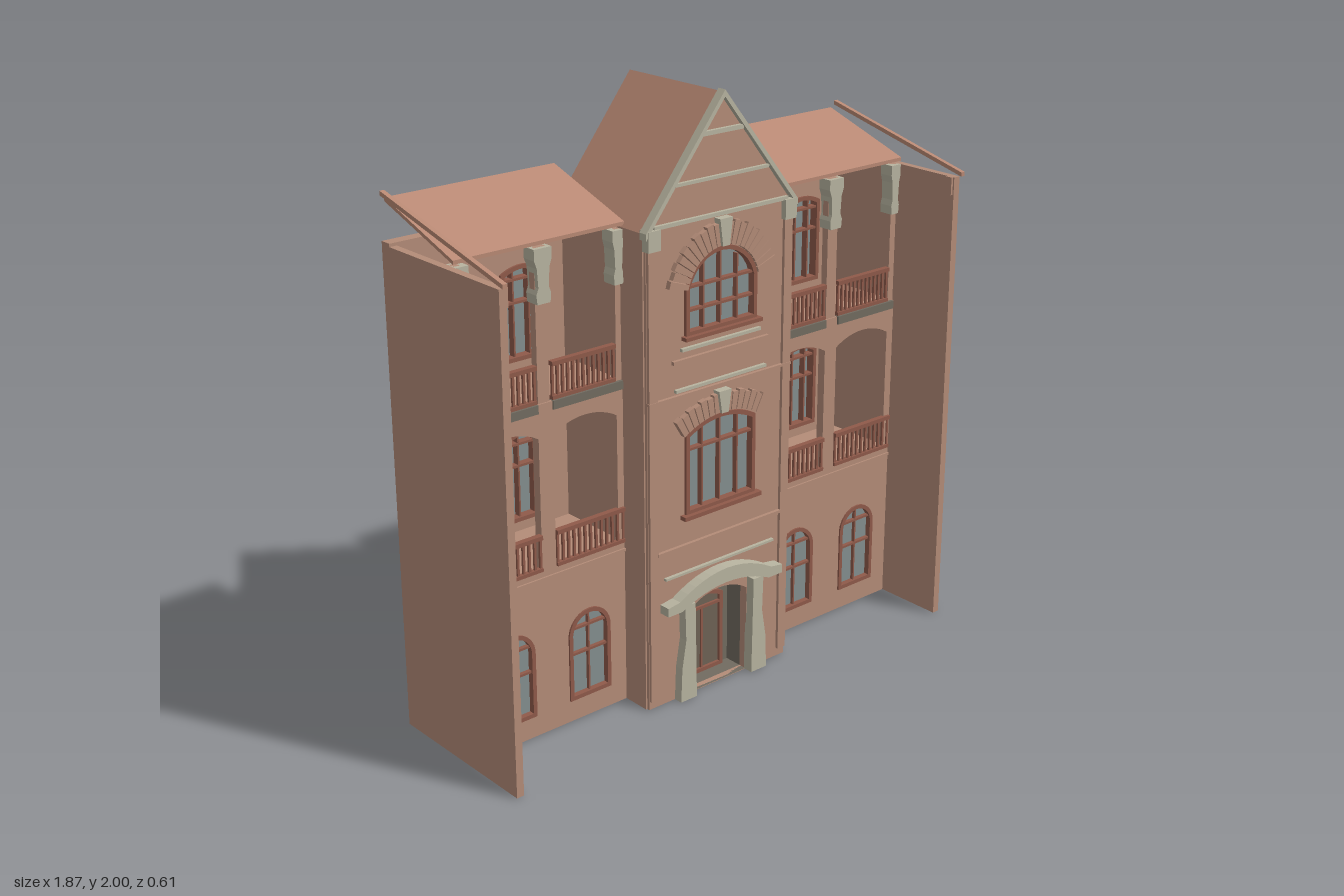
import * as THREE from 'three';

const mat = (name, color) => Object.assign(new THREE.MeshStandardMaterial({ color }), { name });
const brick = mat('brick', 0xb48c78);
const roofTile = mat('roof tile', 0xb98974);
const stone = mat('pale stone', 0xb8b4a0);
const glass = mat('glass', 0x848f8e);
const timber = mat('red brown timber', 0x8f5a4a);
const slabGrey = mat('dark stone', 0x716b60);
const doorBrown = mat('door panel', 0x6e6255);

function add(parent, name, geo, material) {
  const m = new THREE.Mesh(geo, material);
  m.name = name;
  parent.add(m);
  return m;
}

// Box given by its min and max on each axis
function box(parent, name, material, x0, x1, y0, y1, z0, z1) {
  const m = add(parent, name, new THREE.BoxGeometry(x1 - x0, y1 - y0, z1 - z0), material);
  m.position.set((x0 + x1) / 2, (y0 + y1) / 2, (z0 + z1) / 2);
  return m;
}

// Outline of an opening with an arched top
function archPoints(cx, half, y0, y1, rise) {
  const r = (half * half + rise * rise) / (2 * rise);
  const a = Math.asin(Math.min(1, half / r));
  const pts = [new THREE.Vector2(cx - half, y0), new THREE.Vector2(cx + half, y0)];
  for (let i = 0; i <= 12; i++) {
    const t = a - (2 * a * i) / 12;
    pts.push(new THREE.Vector2(cx + r * Math.sin(t), y1 - r + r * Math.cos(t)));
  }
  return pts;
}

const polygon = (list) => new THREE.Shape(list.map(([x, y]) => new THREE.Vector2(x, y)));

function plate(parent, name, material, shape, z0, z1, holes = []) {
  for (const h of holes) shape.holes.push(new THREE.Path(h));
  const geo = new THREE.ExtrudeGeometry(shape, { depth: z1 - z0, bevelEnabled: false });
  geo.translate(0, 0, z0);
  return add(parent, name, geo, material);
}

// Frame, glass and glazing bars; zBack is where the glass sits
function windowUnit(parent, [cx, half, y0, y1, rise], zBack, zFront, uprights, transoms) {
  const g = new THREE.Group();
  g.name = 'window';
  parent.add(g);
  const t = 0.014;
  plate(g, 'windowFrame', timber, new THREE.Shape(archPoints(cx, half, y0, y1, rise)), zBack, zFront,
    [archPoints(cx, half - t, y0 + t, y1 - t, rise * (half - t) / half)]);
  plate(g, 'windowGlass', glass, new THREE.Shape(archPoints(cx, half - 0.002, y0, y1 - 0.002, rise)), zBack - 0.004, zBack + 0.004);
  for (const u of uprights) {
    const drop = rise * (u / half) ** 2;
    box(g, 'glazingBar', timber, cx + u - 0.003, cx + u + 0.003, y0 + t, y1 - t - drop, zBack, zFront - 0.008);
  }
  for (const y of transoms) box(g, 'transom', timber, cx - half + t, cx + half - t, y - 0.004, y + 0.004, zBack, zFront - 0.006);
}

// Fan of wedge bricks with a stone keystone
function voussoirs(parent, cy, r0, r1, spread, n) {
  for (let i = 0; i < n; i++) {
    const a = spread * ((2 * (i + 0.5)) / n - 1);
    const len = (r1 - r0) * (i % 2 ? 0.92 : 1);
    const w = ((2 * spread) / n) * r0 * 0.86;
    const wedge = polygon([[-w / 2, r0], [w / 2, r0], [(w / 2) * (r0 + len) / r0, r0 + len], [(-w / 2) * (r0 + len) / r0, r0 + len]]);
    const m = plate(parent, 'voussoir', brick, wedge, 0.14, 0.158);
    m.position.y = cy;
    m.rotation.z = -a;
  }
  const top = cy + r1 + 0.01, low = cy + r0;
  plate(parent, 'keystone', stone, polygon([[-0.014, low], [0.014, low], [0.026, top], [-0.026, top]]), 0.14, 0.168);
}

function balustrade(parent, cx, width, y0, z) {
  const g = new THREE.Group();
  g.name = 'balustrade';
  parent.add(g);
  const x0 = cx - width / 2, x1 = cx + width / 2;
  box(g, 'topRail', timber, x0, x1, y0 + 0.108, y0 + 0.122, z - 0.012, z + 0.008);
  box(g, 'bottomRail', timber, x0, x1, y0, y0 + 0.012, z - 0.01, z + 0.006);
  const n = 12;
  for (let i = 0; i <= n; i++) {
    const x = x0 + 0.005 + ((width - 0.01) * i) / n;
    box(g, 'baluster', timber, x - 0.004, x + 0.004, y0 + 0.012, y0 + 0.108, z - 0.006, z + 0.002);
  }
}

// Stone bracket at the head of a loggia pillar
function capital(parent, x0, x1) {
  const c = (x0 + x1) / 2, h = (x1 - x0) / 2;
  const side = [[1, 1.6], [1, 1.565], [0.72, 1.54], [0.6, 1.48], [0.85, 1.46], [0.75, 1.43]];
  const pts = [...side.map(([k, y]) => [c + k * h, y]), ...side.slice().reverse().map(([k, y]) => [c - k * h, y])];
  plate(parent, 'capital', stone, polygon(pts.reverse()), -0.01, 0.04);
}

// One side wing, local x from -0.305 to 0.305
function wing() {
  const g = new THREE.Group();
  g.name = 'wing';
  const W = 0.305;
  const rect = (y0, y1) => polygon([[-W, y0], [W, y0], [W, y1], [-W, y1]]);
  const ground = [-0.15, 0.15].map((x) => [x, 0.083, 0.075, 0.383, 0.075]);
  const upper = [0.6, 1.145].flatMap((y) => [-0.135, 0.135].map((x) => [x, 0.08, y, y + 0.312, 0.022]));
  const loggia = [-0.151, 0.151].map((x) => archPoints(x, 0.124, 0.57, 1.04, 0.035));
  plate(g, 'frontWall', brick, rect(0, 1.09), 0, 0.03, [...ground.map((w) => archPoints(...w)), ...loggia]);
  plate(g, 'backWall', brick, rect(0, 1.61), -0.3, -0.26, upper.map((w) => archPoints(...w)));
  for (const w of ground) windowUnit(g, w, 0.012, 0.036, [0], [0.235, 0.325]);
  for (const w of upper) windowUnit(g, w, -0.288, -0.252, [-0.03, 0.03], [w[2] + 0.19, w[2] + 0.265]);
  box(g, 'loggiaFloor', brick, -W, W, 0.545, 0.565, -0.26, 0.0);
  box(g, 'loggiaFloor', brick, -W, W, 1.09, 1.115, -0.26, 0.03);
  box(g, 'stringCourse', brick, -W, W, 0.535, 0.545, 0.03, 0.036);
  for (const s of [-1, 1]) {
    box(g, 'balconySlab', slabGrey, s * 0.163 - 0.135, s * 0.163 + 0.135, 1.088, 1.116, 0.0, 0.036);
    balustrade(g, s * 0.163, 0.27, 0.568, 0.032);
    balustrade(g, s * 0.151, 0.245, 1.118, 0.026);
    box(g, 'endPillar', brick, s * 0.292 - 0.013, s * 0.292 + 0.013, 1.115, 1.6, 0, 0.025);
    capital(g, s * 0.283 - 0.022, s * 0.283 + 0.022);
  }
  box(g, 'middlePillar', brick, -0.022, 0.022, 1.115, 1.6, 0, 0.025);
  capital(g, -0.032, 0.032);
  // Lean-to roof, rising to the back
  const roof = polygon([[-0.035, 1.61], [0.305, 1.725], [0.305, 1.737], [-0.035, 1.622]]);
  plate(g, 'wingRoof', roofTile, roof, -0.31, 0.31).rotation.y = Math.PI / 2;
  return g;
}

function centreBay() {
  const g = new THREE.Group();
  g.name = 'centreBay';
  const top = [0, 0.148, 1.25, 1.515, 0.115], mid = [0, 0.148, 0.65, 0.965, 0.04];
  const door = archPoints(0, 0.125, 0.001, 0.345, 0.04);
  plate(g, 'gableWall', brick, polygon([[-0.3, 0], [0.3, 0], [0.3, 1.6], [0, 1.98], [-0.3, 1.6]]), 0.11, 0.14,
    [archPoints(...top), archPoints(...mid), door]);
  windowUnit(g, top, 0.12, 0.15, [-0.07, 0, 0.07], [1.33, 1.405]);
  windowUnit(g, mid, 0.12, 0.15, [-0.075, 0, 0.075], [0.87]);
  box(g, 'sill', timber, -0.16, 0.16, 1.24, 1.252, 0.14, 0.165);
  box(g, 'sill', timber, -0.165, 0.165, 0.638, 0.652, 0.14, 0.165);
  voussoirs(g, 1.368, 0.15, 0.228, 1.35, 21);
  voussoirs(g, 0.665, 0.305, 0.37, 0.56, 15);
  // Horizontal bands: half width, height, thickness, material
  const bands = [[0.083, 1.875, 0.014, stone], [0.19, 1.735, 0.01, stone], [0.275, 1.618, 0.012, stone],
    [0.165, 1.21, 0.01, stone], [0.2, 1.175, 0.012, brick], [0.19, 1.08, 0.01, stone],
    [0.3, 1.062, 0.008, brick], [0.265, 0.545, 0.01, brick], [0.235, 0.45, 0.008, stone]];
  for (const [h, y, t, m] of bands) box(g, 'band', m, -h, h, y - t / 2, y + t / 2, 0.135, 0.152);

  // Recessed entrance
  plate(g, 'porchLining', slabGrey, new THREE.Shape(archPoints(0, 0.135, 0, 0.355, 0.042)), 0.045, 0.139, [door]);
  plate(g, 'porchBack', slabGrey, new THREE.Shape(archPoints(0, 0.135, 0, 0.355, 0.042)), 0.035, 0.045);
  plate(g, 'doorFrame', timber, new THREE.Shape(archPoints(0, 0.09, 0.002, 0.3, 0.025)), 0.045, 0.062,
    [archPoints(0, 0.076, 0.016, 0.286, 0.02)]);
  plate(g, 'door', doorBrown, new THREE.Shape(archPoints(0, 0.077, 0.01, 0.287, 0.02)), 0.045, 0.052);
  box(g, 'doorTransom', timber, -0.077, 0.077, 0.237, 0.247, 0.045, 0.06);
  box(g, 'doorMeetingStile', timber, -0.004, 0.004, 0.012, 0.237, 0.045, 0.058);

  // Curved stone hood over the door
  const hood = new THREE.Shape();
  hood.moveTo(-0.25, 0.335);
  hood.lineTo(-0.19, 0.335);
  hood.quadraticCurveTo(0, 0.425, 0.19, 0.335);
  hood.lineTo(0.25, 0.335);
  hood.lineTo(0.25, 0.365);
  hood.lineTo(0.2, 0.372);
  hood.quadraticCurveTo(0, 0.49, -0.2, 0.372);
  hood.lineTo(-0.25, 0.365);
  plate(g, 'doorHood', stone, hood, 0.14, 0.18);

  for (const s of [-1, 1]) {
    const pier = [[0.122, 0], [0.19, 0], [0.185, 0.12], [0.168, 0.22], [0.172, 0.345], [0.128, 0.345]].map(([x, y]) => [s * x, y]);
    plate(g, 'doorPier', stone, polygon(pier), 0.135, 0.172);
    box(g, 'sideWall', brick, s * 0.293 - 0.012, s * 0.293 + 0.012, 0, 1.605, -0.29, 0.13);
    box(g, 'pilaster', brick, s * 0.281 - 0.017, s * 0.281 + 0.017, 0.03, 1.55, 0.135, 0.15);
    box(g, 'pilasterCap', stone, s * 0.281 - 0.024, s * 0.281 + 0.024, 1.55, 1.615, 0.12, 0.16);
    // Gable roof slope and its stone coping
    const slope = (w, y0, y1, t) => polygon([[0, y1 - t], [s * w, y0 - t], [s * w, y0], [0, y1]]);
    plate(g, 'gableRoof', roofTile, slope(0.305, 1.605, 1.992, 0.02), -0.29, 0.128);
    plate(g, 'gableCoping', stone, slope(0.312, 1.61, 2.0, 0.022), 0.127, 0.158);
  }
  return g;
}

export function createModel() {
  const model = new THREE.Group();
  model.name = 'townHouse';
  model.add(centreBay());
  for (const s of [-1, 1]) {
    const w = wing();
    w.position.x = s * 0.605;
    model.add(w);
    // Party wall with a sloping coping bar above it
    box(model, 'partyWall', brick, s * 0.922 - 0.013, s * 0.922 + 0.013, 0, 1.6, -0.26, 0.28);
    box(model, 'partyWallEnd', brick, s * 0.922 - 0.013, s * 0.922 + 0.013, 0, 1.61, -0.3, -0.26);
    const bar = polygon([[-0.3, 1.605], [0.295, 1.748], [0.295, 1.762], [-0.3, 1.619]]);
    const coping = plate(model, 'partyWallCoping', roofTile, bar, -0.008, 0.008);
    coping.rotation.y = Math.PI / 2;
    coping.position.x = s * 0.928;
    box(model, 'wallBracket', brick, s * 0.907 - 0.006, s * 0.907 + 0.006, 1.54, 1.6, 0.25, 0.275);
  }
  return model;
}
